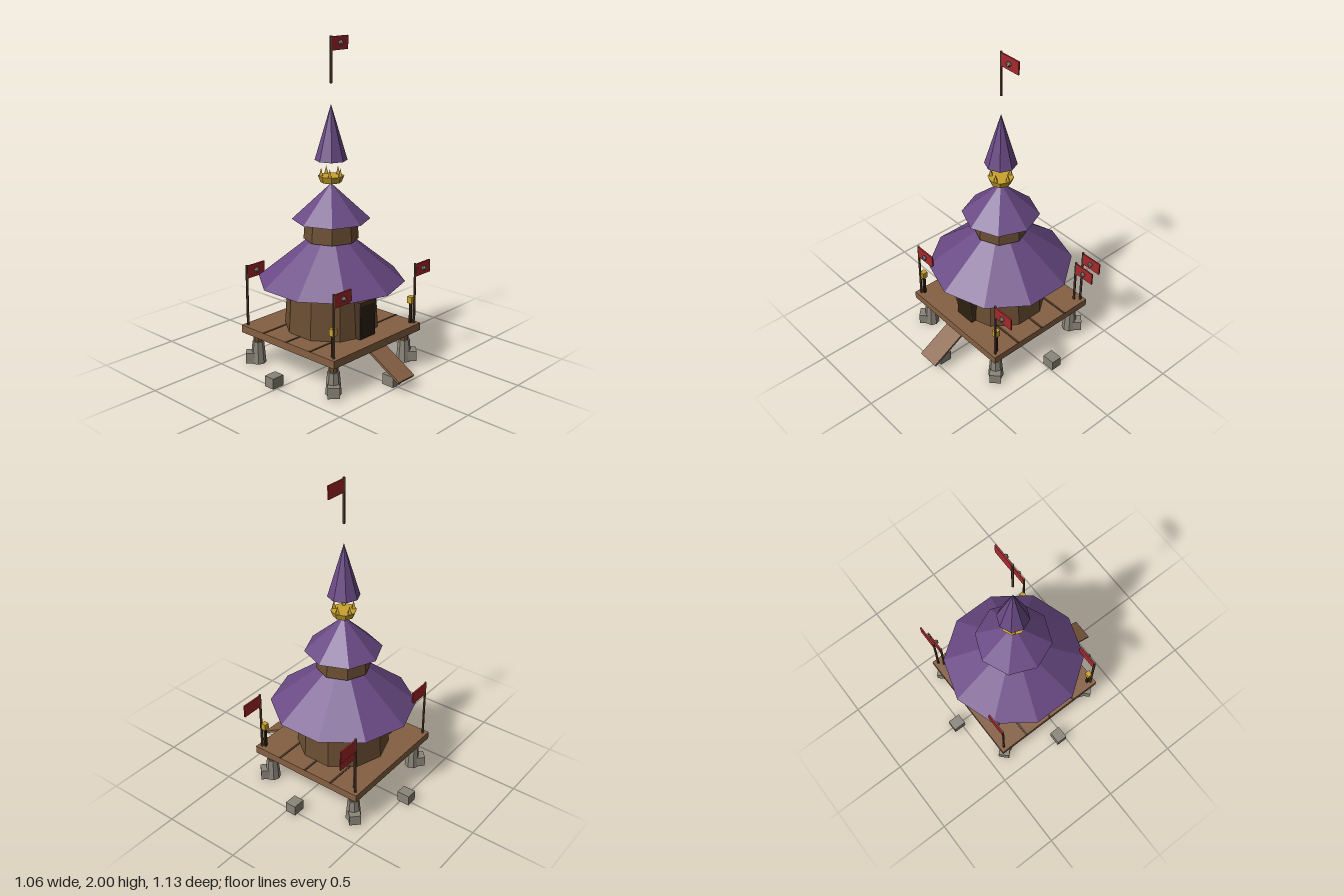
import * as THREE from 'three';

export function createModel() {
  const model = new THREE.Group();
  const mat = (name, color) => {
    const m = new THREE.MeshStandardMaterial({ color, flatShading: true });
    m.name = name;
    return m;
  };
  const purple = mat('purple roof', 0x6a4a85);
  const wallWood = mat('wall wood', 0x6b4e33);
  const deckWood = mat('deck wood', 0x856043);
  const darkWood = mat('dark wood', 0x4a3524);
  const doorDark = mat('door dark', 0x2c2110);
  const stone = mat('stone', 0x8a8579);
  const red = mat('flag red', 0xa5282c);
  const gold = mat('gold', 0xc9a22e);
  const poleWood = mat('pole wood', 0x5c4030);

  // Everything but the ramp is laid out around the tower axis
  const camp = new THREE.Group();
  camp.name = 'tower';
  camp.position.z = -0.037;
  model.add(camp);

  const add = (name, geo, material, x, y, z, parent = camp) => {
    const m = new THREE.Mesh(geo, material);
    m.name = name;
    m.position.set(x, y, z);
    parent.add(m);
    return m;
  };
  const box = (name, material, w, h, d, x, y, z, parent) =>
    add(name, new THREE.BoxGeometry(w, h, d), material, x, y, z, parent);
  // Upright tapered drum from y0 to y1
  const drum = (name, material, r0, r1, y0, y1, sides, x = 0, z = 0, parent = camp) =>
    add(name, new THREE.CylinderGeometry(r1, r0, y1 - y0, sides), material, x, (y0 + y1) / 2, z, parent);
  const cone = (name, material, r, y0, y1, sides, x = 0, z = 0) =>
    add(name, new THREE.ConeGeometry(r, y1 - y0, sides), material, x, (y0 + y1) / 2, z);

  // Deck with plank seams
  box('deck', deckWood, 0.777, 0.048, 0.777, 0, 0.222, 0);
  for (const z of [-0.195, 0, 0.195]) box('plankSeam', darkWood, 0.779, 0.006, 0.014, 0, 0.246, z);

  // Stone footings with wooden stilts
  for (const x of [-0.319, 0.319]) {
    for (const z of [-0.319, 0.319]) {
      drum('footing', stone, 0.048, 0.036, 0, 0.14, 8, x, z);
      drum('stilt', wallWood, 0.028, 0.028, 0.13, 0.2, 8, x, z);
    }
  }

  // Ring of rocks
  for (let i = 0; i < 8; i++) {
    const a = (i * Math.PI) / 4;
    const rock = box('rock', stone, 0.07, 0.066, 0.082, Math.sin(a) * 0.487, 0.037, Math.cos(a) * 0.487);
    rock.rotation.y = a;
  }

  // Walls and roofs
  drum('lowerWall', wallWood, 0.287, 0.27, 0.245, 0.55, 10);
  cone('lowerRoof', purple, 0.448, 0.545, 0.912, 10);
  drum('upperWall', wallWood, 0.166, 0.156, 0.8, 0.93, 8);
  cone('upperRoof', purple, 0.235, 0.922, 1.14, 8);
  cone('spire', purple, 0.097, 1.28, 1.61, 8);

  // Crown
  drum('crownBand', gold, 0.063, 0.078, 1.147, 1.186, 8);
  for (let i = 0; i < 5; i++) {
    const a = (i * Math.PI * 2) / 5;
    cone('crownSpike', gold, 0.016, 1.183, 1.235, 4, Math.cos(a) * 0.06, Math.sin(a) * 0.06);
  }

  // Doorway
  box('door', doorDark, 0.124, 0.21, 0.09, 0, 0.349, 0.253);
  box('lintel', darkWood, 0.136, 0.024, 0.092, 0, 0.465, 0.254);
  for (const x of [-0.065, 0.065]) box('doorJamb', darkWood, 0.006, 0.21, 0.09, x, 0.349, 0.252);

  // Flags: pole, cloth and round emblem
  const flag = (x, z, y0, y1) => {
    const g = new THREE.Group();
    g.name = 'flag';
    g.position.set(x, 0, z);
    camp.add(g);
    drum('flagPole', poleWood, 0.008, 0.008, y0, y1, 6, 0, 0, g);
    box('flagCloth', red, 0.14, 0.08, 0.009, 0.071, y1 - 0.045, 0, g);
    add('flagEmblem', new THREE.IcosahedronGeometry(0.017, 0), stone, 0.072, y1 - 0.044, 0.011, g);
  };
  flag(0, 0, 1.73, 2);
  for (const x of [-0.361, 0.361]) for (const z of [-0.361, 0.361]) flag(x, z, 0.24, 0.632);
  flag(0.332, -0.334, 0.24, 0.548);

  // Lanterns beside the front flags
  for (const x of [-0.348, 0.348]) {
    box('lanternPost', doorDark, 0.016, 0.14, 0.016, x, 0.31, 0.344);
    box('lantern', gold, 0.034, 0.042, 0.034, x, 0.398, 0.344);
  }

  // Entry ramp
  const ramp = box('ramp', deckWood, 0.14, 0.015, 0.255, 0, 0.131, 0.449, model);
  ramp.rotation.x = Math.atan2(0.125, 0.22);

  return model;
}
